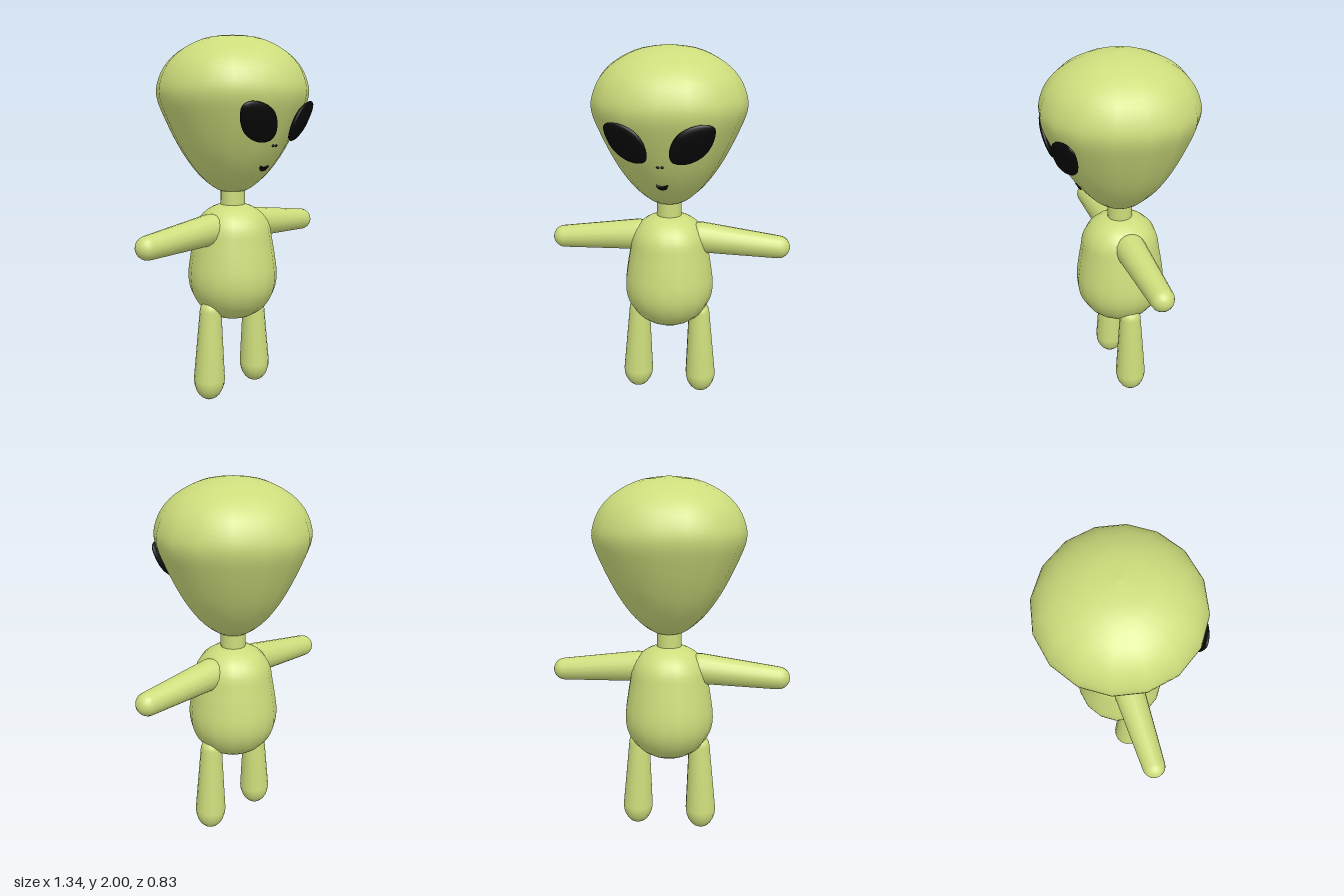
import * as THREE from 'three';

const skin = new THREE.MeshStandardMaterial({ color: 0xcddd7c });
const black = new THREE.MeshStandardMaterial({ color: 0x080808 });
const SIDES = 16;

const v2 = (pts) => pts.map(([x, y]) => new THREE.Vector2(x, y));

function add(parent, name, geometry, material) {
  const mesh = new THREE.Mesh(geometry, material);
  mesh.name = name;
  parent.add(mesh);
  return mesh;
}

// Smooth turned solid through a few [radius, height] points, bottom to top
function turned(pts, steps = 28) {
  const curve = new THREE.SplineCurve(v2(pts));
  const profile = curve.getPoints(steps);
  profile.forEach((p) => { p.x = Math.max(p.x, 0); });
  return new THREE.LatheGeometry(profile, SIDES);
}

// Tapered limb with round ends, from point a (radius ra) to point b (radius rb)
function limb(a, b, ra, rb, stretchB = 1) {
  const length = a.distanceTo(b);
  const profile = [];
  for (let i = 0; i <= 6; i++) {
    const t = (i / 6) * Math.PI / 2;
    profile.push(new THREE.Vector2(ra * Math.sin(t), -ra * Math.cos(t)));
  }
  for (let i = 0; i <= 6; i++) {
    const t = (i / 6) * Math.PI / 2;
    profile.push(new THREE.Vector2(rb * Math.cos(t), length + rb * stretchB * Math.sin(t)));
  }
  const dir = b.clone().sub(a).normalize();
  const turn = new THREE.Quaternion().setFromUnitVectors(new THREE.Vector3(0, 1, 0), dir);
  return new THREE.LatheGeometry(profile, SIDES).applyQuaternion(turn).translate(a.x, a.y, a.z);
}

// Lens-shaped eye: scaled loops of one outline, domed front and back, lying on a slanted plane
function eyeGeometry(side) {
  const outline = new THREE.CatmullRomCurve3([
    [0.274, 1.63], [0.245, 1.65], [0.175, 1.645], [0.1, 1.605], [0.058, 1.53],
    [0.062, 1.465], [0.1, 1.446], [0.165, 1.455], [0.23, 1.5], [0.268, 1.57],
  ].map(([x, y]) => new THREE.Vector3(x, y, 0)), true);
  const n = 32, rings = 12, pos = [], index = [];
  const cx = 0.168, cy = 1.55;
  for (let r = 0; r <= rings; r++) {
    const t = (r / rings) * Math.PI;
    for (let i = 0; i < n; i++) {
      const p = outline.getPoint(i / n);
      const dx = (p.x - cx) * Math.sin(t), dy = (p.y - cy) * Math.sin(t);
      const z = 0.34 - 0.33 * dx + 0.35 * dy + 0.026 * Math.cos(t);
      pos.push(side * (cx + dx), cy + dy, z);
      if (r === rings) continue;
      const j = (i + 1) % n, a = r * n + i, b = r * n + j;
      const c = a + n, d = b + n;
      if (side > 0) index.push(a, c, b, b, c, d);
      else index.push(a, b, c, b, d, c);
    }
  }
  const g = new THREE.BufferGeometry();
  g.setAttribute('position', new THREE.Float32BufferAttribute(pos, 3));
  g.setIndex(index);
  g.computeVertexNormals();
  return g;
}

export function createModel() {
  const model = new THREE.Group();
  model.name = 'alien';

  // Head, neck and body
  add(model, 'head', turned([
    [0, 1.15], [0.09, 1.175], [0.178, 1.245], [0.25, 1.335], [0.31, 1.435], [0.37, 1.56],
    [0.41, 1.665], [0.408, 1.745], [0.365, 1.84], [0.28, 1.92], [0.15, 1.98], [0, 2],
  ], 36), skin);
  add(model, 'neck', new THREE.CylinderGeometry(0.068, 0.068, 0.14, SIDES).translate(0, 1.12, 0), skin);
  add(model, 'body', turned([
    [0, 0.44], [0.1, 0.457], [0.185, 0.515], [0.236, 0.6], [0.25, 0.69], [0.239, 0.79],
    [0.222, 0.89], [0.204, 0.98], [0.155, 1.048], [0.08, 1.088], [0, 1.095],
  ]), skin);

  for (const side of [1, -1]) {
    const label = side > 0 ? 'left' : 'right';
    // Arms taper to the hand, legs widen to the foot
    add(model, label + 'Arm', limb(
      new THREE.Vector3(side * 0.175, 0.967, 0), new THREE.Vector3(side * 0.605, 0.932, 0), 0.086, 0.063), skin);
    add(model, label + 'Leg', limb(
      new THREE.Vector3(side * 0.174, 0.51, 0), new THREE.Vector3(side * 0.186, 0.12, 0), 0.06, 0.087, 1.37), skin);
    add(model, label + 'Eye', eyeGeometry(side), black);

    // Nostrils
    const nostril = add(model, label + 'Nostril', new THREE.SphereGeometry(0.008, 10, 8), black);
    nostril.position.set(side * 0.011, 1.425, 0.302);
  }

  // Small half-moon mouth, tilted to the slope of the chin
  const smile = new THREE.Shape();
  smile.moveTo(-0.03, 0.018);
  smile.quadraticCurveTo(0, 0.006, 0.03, 0.018);
  smile.bezierCurveTo(0.028, -0.026, -0.028, -0.026, -0.03, 0.018);
  const mouth = add(model, 'mouth',
    new THREE.ExtrudeGeometry(smile, { depth: 0.016, bevelEnabled: false, curveSegments: 10 }), black);
  mouth.position.set(0, 1.307, 0.217);
  mouth.rotation.x = 0.65;

  return model;
}
